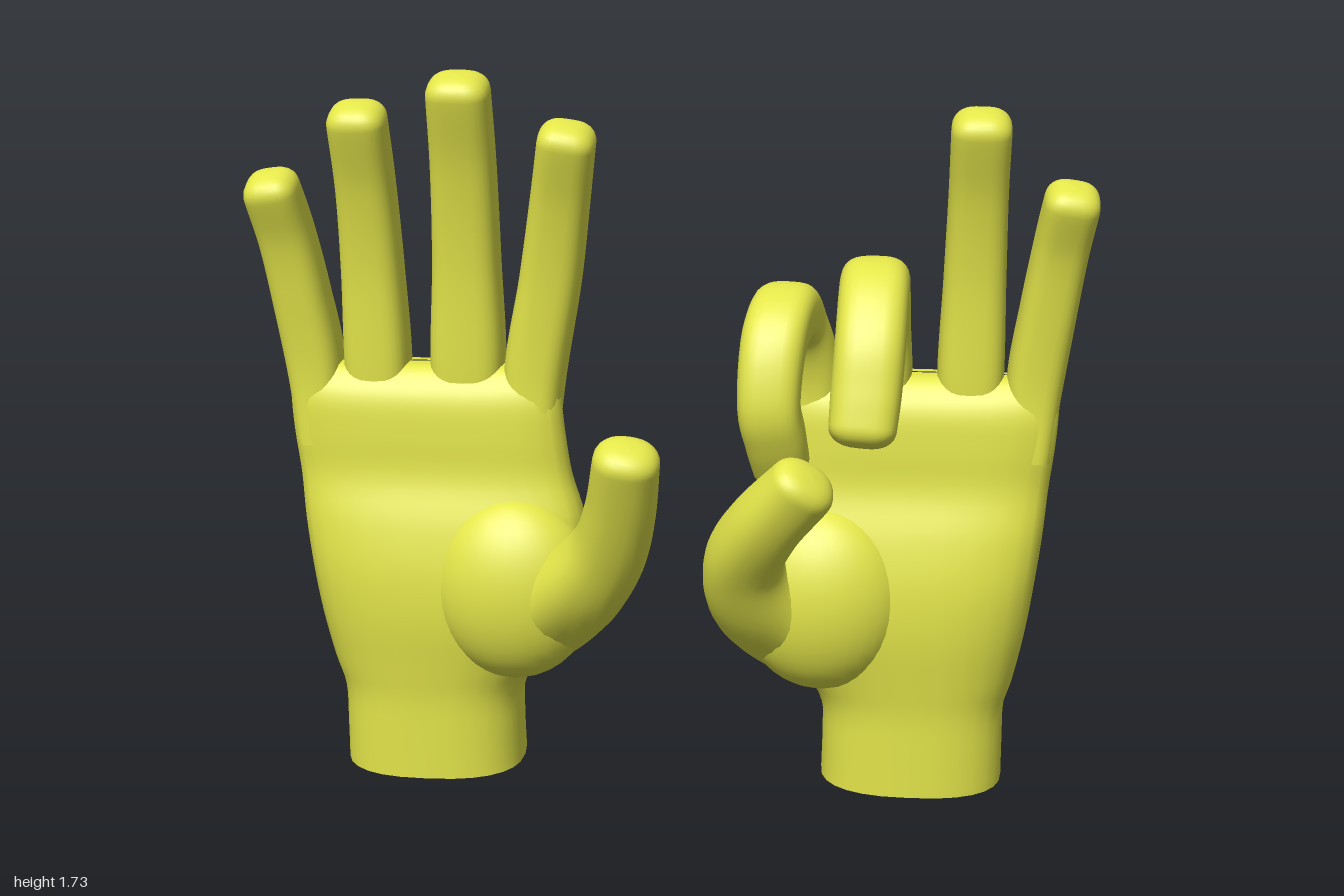
import * as THREE from 'three';

const SEG = 28;
const skin = new THREE.MeshStandardMaterial({ color: 0xe4e64a, roughness: 0.7 });
const V = (x, y, z) => new THREE.Vector3(x, y, z);
const smooth = (pts) => new THREE.CatmullRomCurve3(pts, false, 'catmullrom', 0.5);

// Rounded-square outline: sp(cos), sp(sin) with exponent e
const sp = (v, e) => Math.sign(v) * Math.pow(Math.abs(v), 2 / e);

// Skin a list of rings (equal point counts); mirror = -1 flips x and the winding
function skinRings(rings, mirror) {
  const pos = [], idx = [];
  rings.forEach((r) => r.forEach((p) => pos.push(p.x * mirror, p.y, p.z)));
  const tri = (a, b, c) => (mirror > 0 ? idx.push(a, b, c) : idx.push(a, c, b));
  for (let i = 0; i < rings.length - 1; i++) {
    for (let j = 0; j < SEG; j++) {
      const k = (j + 1) % SEG, a = i * SEG, b = a + SEG;
      tri(a + j, a + k, b + k);
      tri(a + j, b + k, b + j);
    }
  }
  const g = new THREE.BufferGeometry();
  g.setAttribute('position', new THREE.Float32BufferAttribute(pos, 3));
  g.setIndex(idx);
  g.computeVertexNormals();
  return g;
}

// Digit swept along rows of [x, y, z, halfWidth, halfDepth] with a blunt rounded tip
function digit(name, rows, mirror, exponent = 3) {
  const path = smooth(rows.map((r) => V(r[0], r[1], r[2])));
  const size = smooth(rows.map((r) => V(r[3], r[4], 0)));
  const rings = [];
  const ring = (c, T, w, d) => {
    const side = V(1, 0, 0).addScaledVector(T, -T.x).normalize();
    const nrm = T.clone().cross(side);
    rings.push(Array.from({ length: SEG }, (_, j) => {
      const a = (j / SEG) * Math.PI * 2;
      return c.clone().addScaledVector(side, w * sp(Math.cos(a), exponent))
        .addScaledVector(nrm, d * sp(Math.sin(a), exponent));
    }));
  };
  const n = 36;
  for (let i = 0; i <= n; i++) {
    const s = size.getPoint(i / n);
    ring(path.getPoint(i / n), path.getTangent(i / n), s.x, s.y);
  }
  const end = path.getPoint(1), T = path.getTangent(1), s = size.getPoint(1);
  for (let i = 1; i <= 7; i++) {
    const a = (i / 7) * Math.PI / 2, k = Math.pow(Math.max(Math.cos(a), 0), 0.7);
    ring(end.clone().addScaledVector(T, 0.045 * Math.sin(a)), T, s.x * k, s.y * k);
  }
  const m = new THREE.Mesh(skinRings(rings, mirror), skin);
  m.name = name;
  return m;
}

// Wrist and palm: [y, inner x, outer x, front z, back z, arch]
const PALM = [
  [0, 0.37, 0.81, 0.01, -0.325, 0], [0.1, 0.372, 0.81, 0.012, -0.318, 0],
  [0.2, 0.368, 0.812, 0.015, -0.31, 0], [0.28, 0.325, 0.835, 0.025, -0.305, 0],
  [0.4, 0.25, 0.858, 0.04, -0.29, 0.01], [0.52, 0.21, 0.875, 0.04, -0.275, 0.02],
  [0.64, 0.205, 0.89, 0.02, -0.255, 0.025], [0.75, 0.235, 0.9, -0.012, -0.238, 0.03],
  [0.85, 0.25, 0.912, -0.015, -0.222, 0.03], [0.93, 0.258, 0.918, -0.02, -0.21, 0.03],
  [0.98, 0.262, 0.918, -0.04, -0.2, 0.03], [1.015, 0.275, 0.905, -0.075, -0.175, 0.025],
  [1.02, 0.3, 0.88, -0.12, -0.13, 0.02],
];

function palm(mirror) {
  const front = smooth(PALM.map((p) => V(p[1], p[0], p[3])));
  const back = smooth(PALM.map((p) => V(p[2], p[0], p[4])));
  const arch = smooth(PALM.map((p) => V(p[5], 0, 0)));
  const rings = [], n = 48;
  for (let i = 0; i <= n; i++) {
    const t = i / n, A = front.getPoint(t), B = back.getPoint(t), h = arch.getPoint(t).x;
    rings.push(Array.from({ length: SEG }, (_, j) => {
      const a = (j / SEG) * Math.PI * 2, e = 2.5;
      const u = sp(Math.cos(a), e), v = sp(Math.sin(a), e);
      const z = (A.z + B.z) / 2 - ((A.z - B.z) / 2) * v;
      // the cut end of the wrist tilts up towards the back
      const lift = 0.025 * Math.max(0, 1 - A.y / 0.2) * (v + 1) / 2;
      return V((A.x + B.x) / 2 + ((B.x - A.x) / 2) * u, A.y + lift, z + h * u * u);
    }));
  }
  const g = new THREE.Group();
  g.name = 'palmAndWrist';
  const body = new THREE.Mesh(skinRings(rings, mirror), skin);
  body.name = 'palm';
  // flat wrist cut, facing down
  const base = rings[0], mid = base.reduce((s, p) => s.add(p), V(0, 0, 0)).divideScalar(SEG);
  const cap = new THREE.Mesh(skinRings([base.map(() => mid), base], mirror), skin);
  cap.name = 'wristCut';
  g.add(body, cap);
  return g;
}

// Fleshy mound at the base of the thumb
function thumbMound(mirror) {
  const m = new THREE.Mesh(new THREE.SphereGeometry(1, 32, 20), skin);
  m.name = 'thumbMound';
  m.scale.set(0.2, 0.225, 0.13);
  m.position.set(0.37 * mirror, 0.485, -0.03);
  return m;
}

const LITTLE = [
  [0.853, 0.82, -0.1, 0.05, 0.07], [0.86, 1.0, -0.11, 0.066, 0.08], [0.885, 1.18, -0.085, 0.066, 0.076],
  [0.908, 1.33, -0.05, 0.064, 0.07], [0.928, 1.445, 0.0, 0.064, 0.064],
];
const RING = [
  [0.71, 0.82, -0.12, 0.06, 0.07], [0.71, 1.0, -0.12, 0.078, 0.08], [0.714, 1.25, -0.1, 0.073, 0.074],
  [0.717, 1.45, -0.06, 0.069, 0.07], [0.72, 1.61, 0.0, 0.069, 0.064],
];
const MIDDLE = [
  [0.495, 0.82, -0.12, 0.06, 0.07], [0.49, 1.0, -0.12, 0.088, 0.08], [0.486, 1.27, -0.1, 0.08, 0.076],
  [0.482, 1.5, -0.055, 0.076, 0.07], [0.48, 1.68, 0.005, 0.074, 0.066],
];
const INDEX = [
  [0.33, 0.8, -0.1, 0.055, 0.07], [0.325, 1.0, -0.11, 0.073, 0.08], [0.283, 1.23, -0.085, 0.073, 0.074],
  [0.253, 1.42, -0.045, 0.07, 0.07], [0.228, 1.57, 0.01, 0.068, 0.064],
];
const MIDDLE_BENT = [
  [0.495, 0.82, -0.12, 0.06, 0.07], [0.49, 1.0, -0.12, 0.083, 0.08], [0.488, 1.15, -0.08, 0.08, 0.078],
  [0.488, 1.245, 0.03, 0.08, 0.075], [0.487, 1.235, 0.12, 0.08, 0.075], [0.484, 1.15, 0.2, 0.08, 0.072],
  [0.478, 1.05, 0.235, 0.08, 0.07], [0.472, 0.97, 0.258, 0.077, 0.066],
];
const INDEX_BENT = [
  [0.33, 0.8, -0.1, 0.055, 0.07], [0.33, 1.0, -0.11, 0.075, 0.08], [0.3, 1.13, -0.06, 0.075, 0.075],
  [0.282, 1.185, 0.03, 0.075, 0.072], [0.262, 1.13, 0.125, 0.075, 0.07], [0.255, 1.0, 0.165, 0.072, 0.066],
  [0.268, 0.92, 0.145, 0.07, 0.064], [0.28, 0.85, 0.112, 0.066, 0.06],
];
const THUMB_OPEN = [
  [0.46, 0.33, -0.13, 0.1, 0.1], [0.33, 0.41, -0.07, 0.13, 0.12], [0.215, 0.5, 0.02, 0.115, 0.1],
  [0.13, 0.61, 0.085, 0.094, 0.085], [0.09, 0.73, 0.145, 0.084, 0.078], [0.067, 0.865, 0.21, 0.078, 0.07],
];
const THUMB_BENT = [
  [0.46, 0.33, -0.13, 0.1, 0.1], [0.33, 0.4, -0.08, 0.13, 0.12], [0.225, 0.49, 0.01, 0.115, 0.11],
  [0.195, 0.6, 0.09, 0.095, 0.095], [0.245, 0.71, 0.165, 0.085, 0.085], [0.335, 0.82, 0.225, 0.08, 0.07],
];

function hand(name, mirror, index, middle, thumb) {
  const g = new THREE.Group();
  g.name = name;
  g.add(
    palm(mirror), thumbMound(mirror),
    digit('littleFinger', LITTLE, mirror), digit('ringFinger', RING, mirror),
    digit('middleFinger', middle, mirror), digit('indexFinger', index, mirror),
    digit('thumb', thumb, mirror, 2.3),
  );
  return g;
}

export function createModel() {
  const model = new THREE.Group();
  model.name = 'pairOfHands';
  model.add(
    hand('openHand', -1, INDEX, MIDDLE, THUMB_OPEN),
    hand('pinchingHand', 1, INDEX_BENT, MIDDLE_BENT, THUMB_BENT),
  );
  return model;
}
